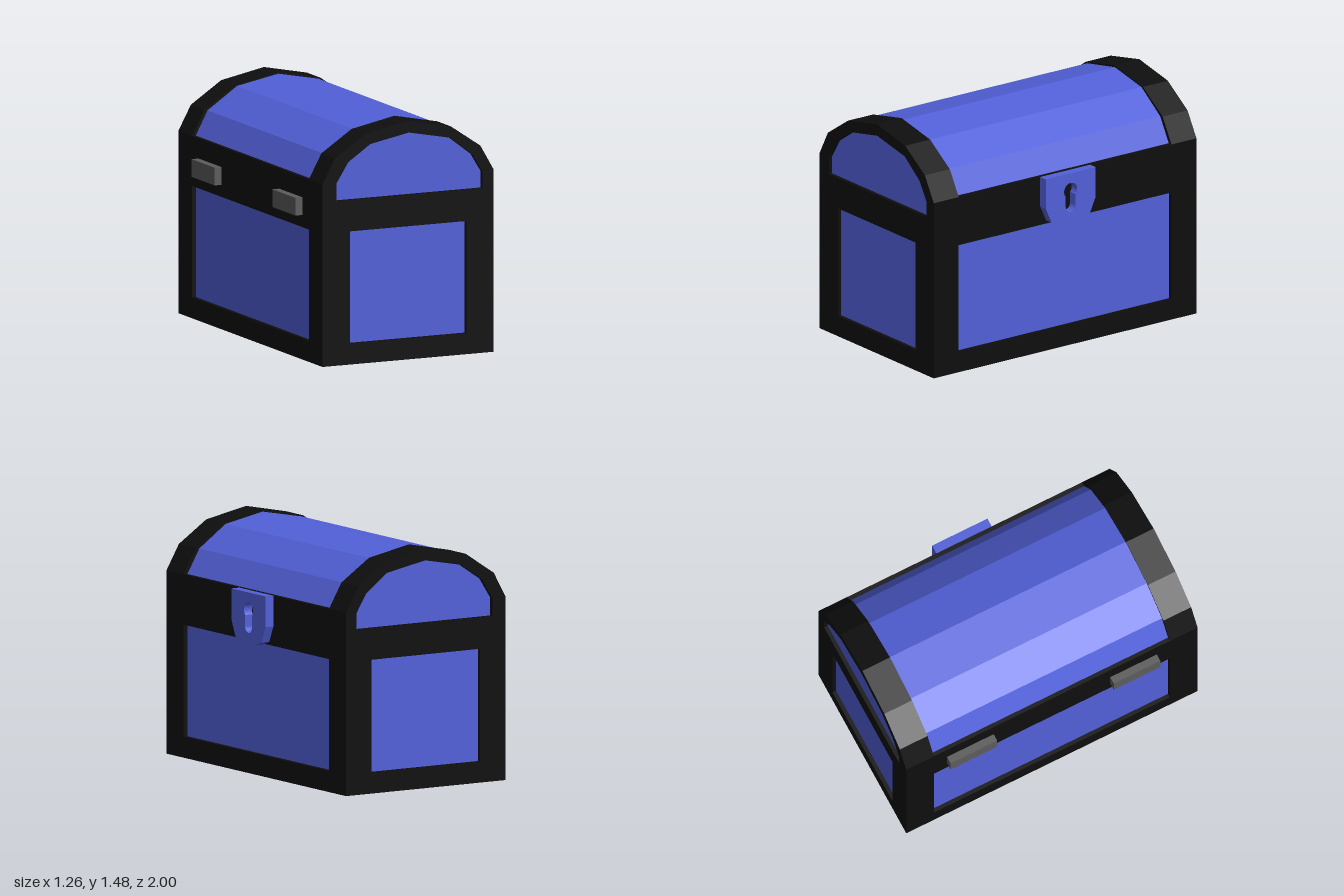
import * as THREE from 'three';

const mat = (color) => new THREE.MeshStandardMaterial({ color, flatShading: true });
const blue = mat(0x5260d8);
const black = mat(0x0e0e0e);
const iron = mat(0x5c5c5c);

const toPoints = (list) => list.map(([x, y]) => new THREE.Vector2(x, y));

export function createModel() {
  const chest = new THREE.Group();
  chest.name = 'treasureChest';

  const add = (name, geometry, material) => {
    const mesh = new THREE.Mesh(geometry, material);
    mesh.name = name;
    chest.add(mesh);
    return mesh;
  };
  // Box given by its limits on each axis
  const box = (name, [x0, x1], [y0, y1], [z0, z1], material) =>
    add(name, new THREE.BoxGeometry(x1 - x0, y1 - y0, z1 - z0), material)
      .position.set((x0 + x1) / 2, (y0 + y1) / 2, (z0 + z1) / 2);
  const extrude = (shape, depth, curveSegments = 8) =>
    new THREE.ExtrudeGeometry(shape, { depth, bevelEnabled: false, curveSegments });

  const left = 0.575, right = -0.585, hoopZ = 0.81, rim = 1.13;

  // Panelled core: its surfaces show as the recessed blue panels and the lid
  const core = new THREE.Shape(toPoints([
    [-0.56, 0.02], [0.547, 0.02], [0.547, rim], [0.46, 1.28], [0.27, 1.415],
    [0, 1.468], [-0.28, 1.415], [-0.48, 1.28], [-0.56, rim],
  ]));
  add('panelCore', extrude(core, 1.95), blue).position.z = -0.975;

  // End frames: full silhouette with a window for the body and one for the lid
  const frame = new THREE.Shape(toPoints([
    [right, 0], [left, 0], [left, rim], [0.485, 1.285], [0.285, 1.42],
    [-0.005, 1.478], [-0.295, 1.42], [-0.5, 1.285], [right, rim],
  ]));
  frame.holes.push(
    new THREE.Path(toPoints([[-0.4, 0.13], [-0.4, 0.825], [0.39, 0.825], [0.39, 0.13]])),
    new THREE.Path(toPoints([
      [-0.49, 1.02], [-0.49, 1.13], [-0.41, 1.255], [-0.26, 1.355], [0, 1.405],
      [0.28, 1.35], [0.43, 1.235], [0.5, 1.12], [0.5, 1.02],
    ])),
  );
  const frameGeometry = extrude(frame, 1 - hoopZ);
  add('frontFrame', frameGeometry, black).position.z = hoopZ;
  add('backFrame', frameGeometry, black).position.z = -1;

  // Bottom plate and the long rails on both sides
  box('bottomPlate', [right, left], [0, 0.03], [-hoopZ, hoopZ], black);
  for (const [side, x] of [['left', [0.54, left]], ['right', [right, -0.55]]]) {
    box(side + 'LowerRail', x, [0.03, 0.13], [-hoopZ, hoopZ], black);
    box(side + 'UpperRail', x, [0.82, rim], [-hoopZ, hoopZ], black);
  }

  // Hinges on the right side
  for (const s of [-1, 1]) {
    const z = [s * 0.4, s * 0.72].sort((a, b) => a - b);
    box('hinge', [-0.632, right], [0.895, 1.005], z, iron);
  }

  // Lock plate on the left side, with a keyhole cut through
  const plate = new THREE.Shape(toPoints([
    [-0.19, rim], [-0.19, 0.94], [-0.145, 0.84], [-0.07, 0.812], [0, 0.803],
    [0.07, 0.812], [0.145, 0.84], [0.19, 0.94], [0.19, rim],
  ]));
  const keyhole = new THREE.Path();
  const slot = 0.038, cy = 1.018, r = 0.05, a = Math.acos(slot / r);
  keyhole.absarc(0, cy, r, -a, Math.PI + a, false);
  keyhole.absarc(0, 0.918, slot, Math.PI, Math.PI * 2, false);
  keyhole.closePath();
  plate.holes.push(keyhole);
  const lock = add('lockPlate', extrude(plate, 0.057), blue);
  lock.rotation.y = Math.PI / 2;
  lock.position.x = left;

  return chest;
}
